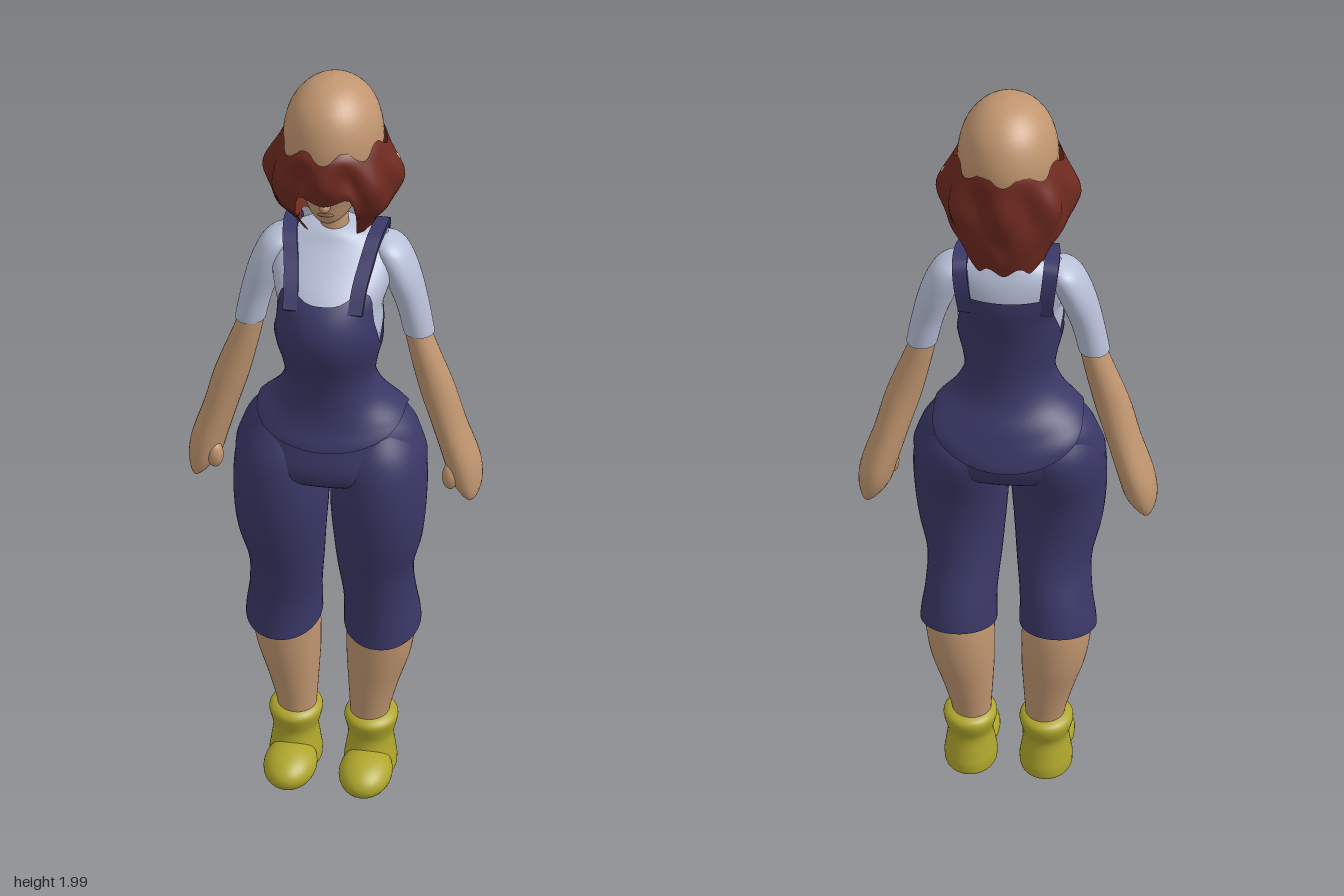
import * as THREE from 'three';

const mat = (name, color, side = THREE.FrontSide) => {
  const m = new THREE.MeshStandardMaterial({ color, side });
  m.name = name;
  return m;
};
const { smoothstep, lerp } = THREE.MathUtils;

// Smooth interpolation through cross-section rows [y, centreX, radiusX, zFront, zBack], listed top down
function profile(rows) {
  return (y) => {
    let i = 0;
    while (i < rows.length - 2 && y < rows[i + 1][0]) i++;
    const a = rows[i], b = rows[i + 1], p = rows[Math.max(i - 1, 0)], q = rows[Math.min(i + 2, rows.length - 1)];
    const h = b[0] - a[0], t = THREE.MathUtils.clamp((y - a[0]) / h, 0, 1);
    const v = a.map((_, k) => {
      const m0 = ((b[k] - p[k]) / (b[0] - p[0])) * h, m1 = ((q[k] - a[k]) / (q[0] - a[0])) * h;
      const t2 = t * t, t3 = t2 * t;
      return (2 * t3 - 3 * t2 + 1) * a[k] + (t3 - 2 * t2 + t) * m0 + (3 * t2 - 2 * t3) * b[k] + (t3 - t2) * m1;
    });
    return { cx: v[1], rx: Math.max(v[2], 0), mid: (v[3] + v[4]) / 2, rz: Math.max((v[3] - v[4]) / 2, 0) };
  };
}

// Skin of elliptical rings; top and bottom edges may vary with the angle (0 = front)
function skin(f, top, bottom, { n = 40, m = 32, grow = () => 0, scale = () => 1 } = {}) {
  const pos = [], idx = [];
  const at = (e, a) => (typeof e === 'function' ? e(a) : e);
  for (let i = 0; i <= m; i++) {
    const t = (1 - Math.cos((Math.PI * i) / m)) / 2;
    for (let j = 0; j < n; j++) {
      const a = (j / n) * Math.PI * 2;
      const y = lerp(at(top, a), at(bottom, a), t);
      const s = f(y), k = scale(a, y, t), g = grow(a, t);
      pos.push(s.cx + (s.rx * k + g) * Math.sin(a), y, s.mid + (s.rz * k + g) * Math.cos(a));
      if (i < m) {
        const p = i * n + j, r = i * n + ((j + 1) % n);
        idx.push(p, p + n, r + n, p, r + n, r);
      }
    }
  }
  const geo = new THREE.BufferGeometry();
  geo.setAttribute('position', new THREE.Float32BufferAttribute(pos, 3));
  geo.setIndex(idx);
  geo.computeVertexNormals();
  return geo;
}

const ball = (x, y, z, rx, ry, rz) => new THREE.SphereGeometry(1, 28, 20).scale(rx, ry, rz).translate(x, y, z);

function mirrored(geo) {
  const g = geo.clone().scale(-1, 1, 1);
  g.index.array.reverse();
  g.computeVertexNormals();
  return g;
}

// Flat strip following a curve, with its width along x
function ribbon(points, width, thick) {
  const curve = new THREE.CatmullRomCurve3(points);
  const geo = new THREE.BoxGeometry(width, thick, 1, 2, 1, 40);
  const p = geo.attributes.position;
  for (let i = 0; i < p.count; i++) {
    const t = 0.5 - p.getZ(i), c = curve.getPoint(t), d = curve.getTangent(t);
    const l = Math.hypot(d.y, d.z), off = p.getY(i);
    p.setXYZ(i, c.x + p.getX(i), c.y - (d.z / l) * off, c.z + (d.y / l) * off);
  }
  geo.computeVertexNormals();
  return geo;
}

export function createModel() {
  const root = new THREE.Group();
  const skinTone = mat('skin', 0xc19670);
  const denim = mat('denim', 0x3a3867, THREE.DoubleSide);
  const cloth = mat('shirt cloth', 0xb8c0d8, THREE.DoubleSide);
  const red = mat('red hair', 0x6f2a20, THREE.DoubleSide);
  const yellow = mat('yellow boot', 0xafa62c);
  const lip = mat('lip', 0x8f604b);
  const add = (name, geo, m) => {
    const mesh = new THREE.Mesh(geo, m);
    mesh.name = name;
    root.add(mesh);
  };
  const pair = (name, geo, m) => {
    add('left' + name, geo, m);
    add('right' + name, mirrored(geo), m);
  };

  // Torso shape shared by shirt, bodice, pelvis and straps
  const torso = profile([
    [1.63, 0, 0, -0.04, -0.04], [1.62, 0, 0.05, 0, -0.1], [1.59, 0, 0.12, 0.025, -0.12],
    [1.55, 0, 0.145, 0.065, -0.13], [1.5, 0, 0.14, 0.12, -0.13], [1.45, 0, 0.125, 0.155, -0.12],
    [1.4, 0, 0.126, 0.167, -0.105], [1.35, 0, 0.119, 0.158, -0.095], [1.3, 0, 0.107, 0.138, -0.088],
    [1.25, 0, 0.103, 0.125, -0.088], [1.2, 0, 0.128, 0.12, -0.1], [1.15, 0, 0.178, 0.125, -0.125],
    [1.1, 0, 0.214, 0.135, -0.138], [1.0, 0, 0.232, 0.142, -0.122], [0.95, 0, 0.15, 0.07, -0.05],
    [0.93, 0, 0, 0.02, 0.02],
  ]);
  add('shirt', skin(torso, 1.63, 1.3), cloth);
  add('pelvis', skin(torso, 1.2, 0.93), denim);

  // Bodice with bib, armholes and pointed waist edge
  const bibTop = (a) => {
    const c = Math.cos(a);
    return c > 0
      ? 1.36 + 0.15 * smoothstep(c, 0.15, 0.8) - 0.02 * smoothstep(c, 0.85, 1)
      : 1.36 + 0.165 * smoothstep(-c, 0.2, 0.85);
  };
  const waist = (a) => 1.155 - (Math.cos(a) > 0 ? 0.06 : 0.1) * Math.cos(a) ** 2;
  const flare = (a, t) => 0.007 + smoothstep(t, 0.85, 1) * (Math.cos(a) < 0 ? 0.016 : 0.006) * Math.cos(a) ** 2;
  add('bodice', skin(torso, bibTop, waist, { n: 64, m: 40, grow: flare }), denim);

  // Shoulder straps resting on the torso
  const strapPoint = (x, y, dir) => {
    const s = torso(y);
    return new THREE.Vector3(x, y, s.mid + dir * (s.rz * Math.sqrt(Math.max(0, 1 - (x / s.rx) ** 2)) + 0.011));
  };
  const strapPath = [
    strapPoint(0.076, 1.47, 1), strapPoint(0.08, 1.52, 1), strapPoint(0.088, 1.56, 1),
    new THREE.Vector3(0.098, 1.6, 0.005), new THREE.Vector3(0.105, 1.612, -0.05), new THREE.Vector3(0.105, 1.6, -0.105),
    strapPoint(0.1, 1.55, -1), strapPoint(0.092, 1.48, -1),
  ];
  pair('Strap', ribbon(strapPath, 0.034, 0.014), denim);

  // Trouser legs with a cuff that rises toward the back
  const leg = profile([
    [1.12, 0.11, 0.08, 0.1, -0.1], [1.06, 0.115, 0.108, 0.135, -0.128], [1.0, 0.12, 0.117, 0.149, -0.122],
    [0.9, 0.121, 0.118, 0.15, -0.092], [0.8, 0.12, 0.11, 0.135, -0.08], [0.7, 0.113, 0.095, 0.11, -0.09],
    [0.6, 0.12, 0.092, 0.09, -0.122], [0.53, 0.126, 0.097, 0.085, -0.137], [0.47, 0.128, 0.1, 0.086, -0.137],
  ]);
  pair('TrouserLeg', skin(leg, 1.12, (a) => 0.503 - 0.027 * Math.cos(a)), denim);

  // Shins
  const shin = profile([
    [0.58, 0.124, 0.08, 0.06, -0.105], [0.5, 0.124, 0.088, 0.062, -0.12], [0.4, 0.117, 0.083, 0.055, -0.118],
    [0.3, 0.105, 0.066, 0.042, -0.1], [0.2, 0.096, 0.051, 0.03, -0.082], [0.15, 0.096, 0.05, 0.03, -0.08],
  ]);
  pair('Shin', skin(shin, 0.58, 0.15), skinTone);

  // Ankle boots: shaft with rolled collar, and rounded toe
  const boot = profile([
    [0.206, 0.1, 0.045, 0.025, -0.08], [0.2, 0.1, 0.06, 0.04, -0.097], [0.187, 0.1, 0.07, 0.05, -0.105],
    [0.165, 0.1, 0.067, 0.046, -0.102], [0.13, 0.1, 0.06, 0.038, -0.09], [0.08, 0.1, 0.066, 0.05, -0.098],
    [0.04, 0.1, 0.07, 0.06, -0.104], [0.015, 0.1, 0.057, 0.045, -0.09], [0.006, 0.1, 0, -0.02, -0.02],
  ]);
  pair('BootShaft', skin(boot, 0.206, 0.006), yellow);
  pair('BootToe', ball(0.1, 0.058, 0.06, 0.07, 0.052, 0.096), yellow);

  // Short sleeves
  const sleeve = profile([
    [1.6, 0.115, 0.01, -0.04, -0.06], [1.585, 0.125, 0.032, 0, -0.095], [1.56, 0.137, 0.043, 0.018, -0.108],
    [1.5, 0.162, 0.044, 0.022, -0.104], [1.42, 0.188, 0.039, 0.012, -0.088], [1.35, 0.204, 0.037, 0.006, -0.08],
  ]);
  pair('Sleeve', skin(sleeve, 1.6, 1.35), cloth);

  // Arms ending in simple closed hands
  const arm = profile([
    [1.43, 0.186, 0.028, 0, -0.07], [1.35, 0.202, 0.032, 0.003, -0.075], [1.2, 0.25, 0.044, 0.01, -0.082],
    [1.1, 0.281, 0.043, 0.015, -0.098], [1.0, 0.314, 0.045, 0.02, -0.115], [0.95, 0.326, 0.041, 0.018, -0.112],
    [0.92, 0.335, 0.029, 0.012, -0.102], [0.9, 0.342, 0.014, -0.002, -0.085], [0.892, 0.343, 0, -0.045, -0.045],
  ]);
  pair('Arm', skin(arm, 1.43, 0.892, { n: 28 }), skinTone);
  pair('Thumb', ball(0.293, 0.965, -0.003, 0.021, 0.036, 0.021), skinTone);

  // Head and neck
  const head = profile([
    [2.0, 0, 0, -0.025, -0.025], [1.99, 0, 0.043, 0.028, -0.078], [1.96, 0, 0.081, 0.075, -0.125],
    [1.92, 0, 0.104, 0.102, -0.152], [1.86, 0, 0.115, 0.115, -0.165], [1.8, 0, 0.108, 0.11, -0.155],
    [1.75, 0, 0.08, 0.098, -0.12], [1.72, 0, 0.062, 0.09, -0.08], [1.69, 0, 0.044, 0.083, -0.04],
    [1.675, 0, 0.025, 0.072, 0], [1.668, 0, 0, 0.05, 0.05],
  ]);
  add('head', skin(head, 2.0, 1.668), skinTone);
  const neck = profile([[1.76, 0, 0.035, 0.01, -0.08], [1.68, 0, 0.031, -0.005, -0.07], [1.58, 0, 0.036, 0, -0.08]]);
  add('neck', skin(neck, 1.76, 1.58, { n: 24, m: 10 }), skinTone);
  add('nose', ball(0, 1.73, 0.096, 0.013, 0.014, 0.018), skinTone);
  add('lips', ball(0, 1.703, 0.085, 0.019, 0.005, 0.005), lip);
  add('earTip', ball(0.142, 1.805, -0.028, 0.012, 0.014, 0.008), skinTone);

  // Wavy hair band: short fringe in front, neck length at the sides and back
  const hair = profile([
    [1.88, 0, 0.108, 0.104, -0.158], [1.85, 0, 0.124, 0.127, -0.168], [1.8, 0, 0.148, 0.127, -0.17],
    [1.76, 0, 0.154, 0.122, -0.17], [1.7, 0, 0.138, 0.1, -0.164], [1.65, 0, 0.106, 0.05, -0.157],
    [1.6, 0, 0.082, 0, -0.143],
  ]);
  const hairTop = (a) => 1.86 - 0.012 * Math.cos(8 * a);
  const hairBottom = (a) => {
    const b = Math.min(a, Math.PI * 2 - a);
    return lerp(1.75, 1.612, smoothstep(b, 0.35, 0.78)) - 0.01 * Math.cos(8 * a);
  };
  const waves = (a, y, t) => 1 + 0.085 * Math.sin(Math.PI * Math.min(1, t * 1.1 + 0.05)) * Math.cos(8 * a) * Math.cos((y - 1.78) * 22);
  add('hair', skin(hair, hairTop, hairBottom, { n: 96, m: 28, scale: waves }), red);

  return root;
}
